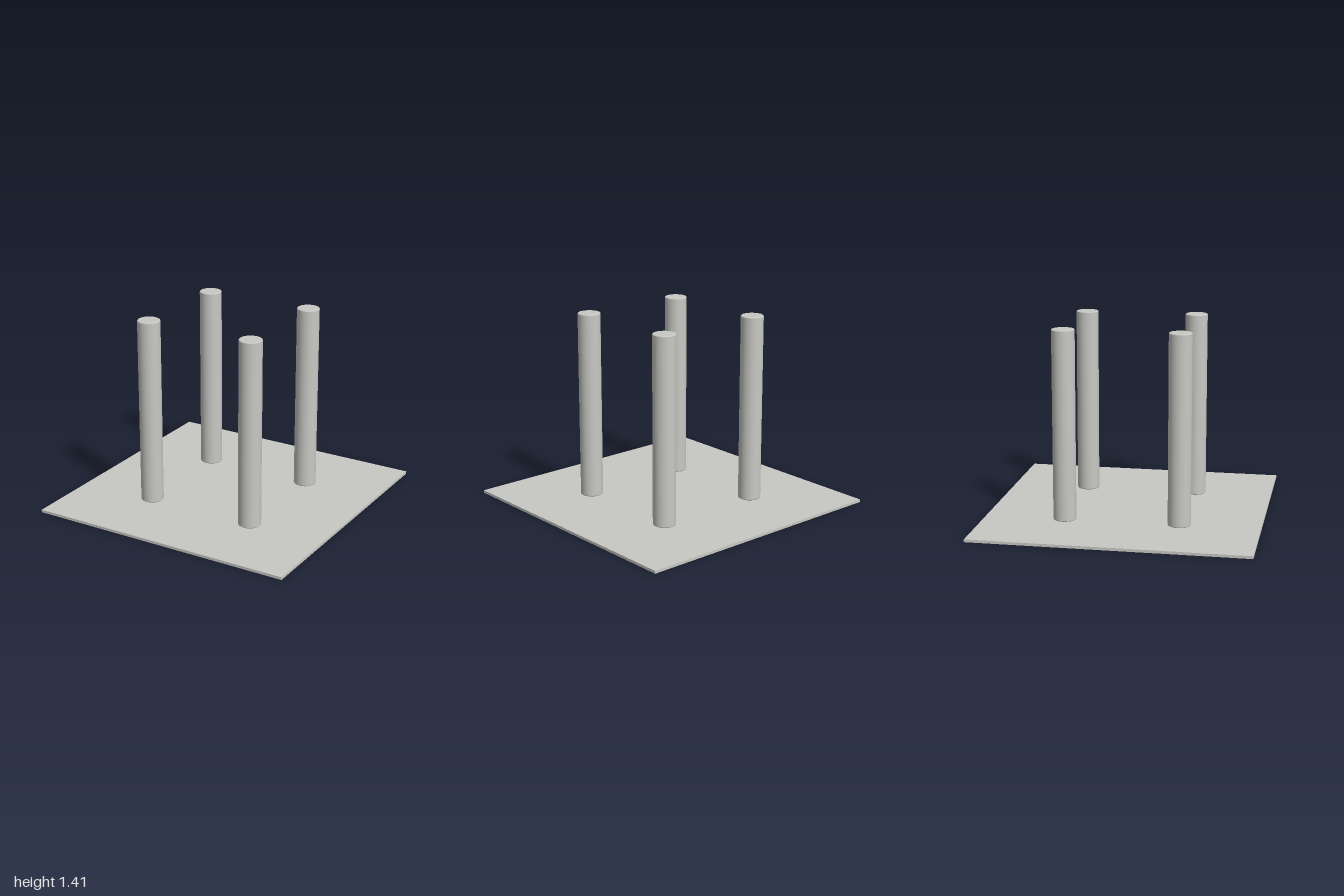
import * as THREE from 'three';

export function createModel() {
  const model = new THREE.Group();
  model.name = 'pillaredBase';
  const stone = new THREE.MeshStandardMaterial({ color: 0xc8c8c4 });
  stone.name = 'pale grey';

  // Thin square base plate
  const thickness = 0.02;
  const base = new THREE.Mesh(new THREE.BoxGeometry(2, thickness, 2), stone);
  base.name = 'basePlate';
  base.position.y = thickness / 2;
  model.add(base);

  // Pillar profile: straight shaft with small rounded rims at both ends
  const radius = 0.083, height = 1.39, rim = 0.008, steps = 4;
  const profile = [new THREE.Vector2(0, 0), new THREE.Vector2(radius - rim - 0.001, 0)];
  const addRim = (centreY, start) => {
    for (let i = 0; i <= steps; i++) {
      const a = start + (i / steps) * Math.PI / 2;
      profile.push(new THREE.Vector2(radius - rim + rim * Math.cos(a), centreY + rim * Math.sin(a)));
    }
  };
  addRim(rim, -Math.PI / 2);
  addRim(height - rim, 0);
  profile.push(new THREE.Vector2(radius - rim - 0.001, height), new THREE.Vector2(0, height));
  const pillarGeometry = new THREE.LatheGeometry(profile, 48);

  // Four pillars, mirrored about both axes
  const offset = 0.417;
  for (const [side, sx] of [['Left', 1], ['Right', -1]]) {
    for (const [end, sz] of [['front', 1], ['back', -1]]) {
      const pillar = new THREE.Mesh(pillarGeometry, stone);
      pillar.name = `${end}${side}Pillar`;
      pillar.position.set(sx * offset, thickness, sz * offset);
      model.add(pillar);
    }
  }
  return model;
}
